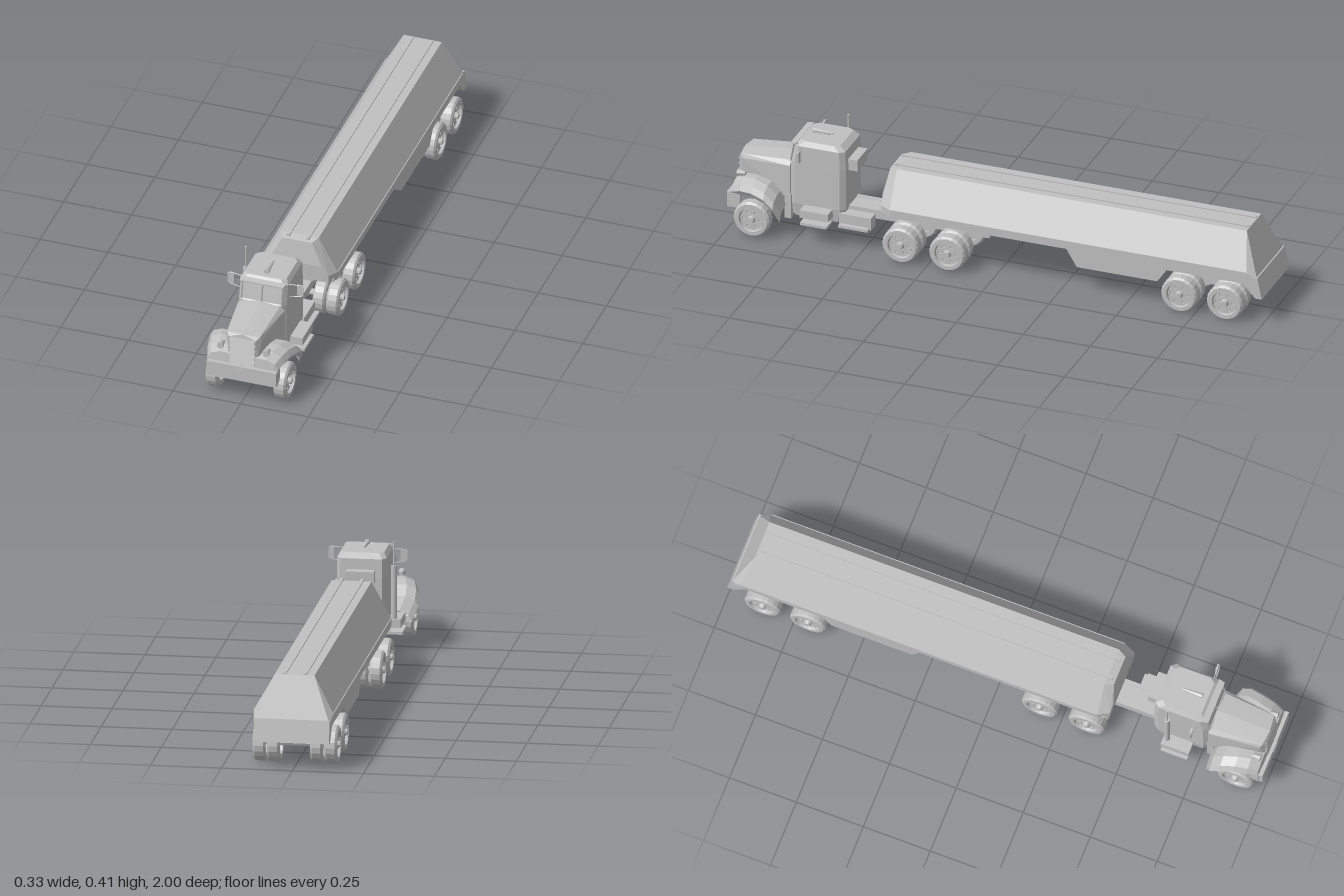
import * as THREE from 'three';
import { ConvexGeometry } from 'three/addons/geometries/ConvexGeometry.js';

const paint = new THREE.MeshStandardMaterial({ color: 0xc0c0c0, flatShading: true, side: THREE.DoubleSide });
paint.name = 'grey';

const V = (x, y, z) => new THREE.Vector3(x, y, z);

function add(parent, name, geometry, x = 0, y = 0, z = 0) {
  const mesh = new THREE.Mesh(geometry, paint);
  mesh.name = name;
  mesh.position.set(x, y, z);
  parent.add(mesh);
  return mesh;
}

// Box given by its limits
function box(parent, name, x0, x1, y0, y1, z0, z1) {
  return add(parent, name, new THREE.BoxGeometry(x1 - x0, y1 - y0, z1 - z0),
    (x0 + x1) / 2, (y0 + y1) / 2, (z0 + z1) / 2);
}

// Convex body from [x, y, z] corners, mirrored across x
function hull(parent, name, half) {
  return add(parent, name, new ConvexGeometry(half.flatMap(([x, y, z]) => [V(x, y, z), V(-x, y, z)])));
}

// Round bar between two points
function bar(parent, name, a, b, r, r2 = r, sides = 8) {
  const mesh = add(parent, name, new THREE.CylinderGeometry(r2, r, a.distanceTo(b), sides));
  mesh.position.copy(a).lerp(b, 0.5);
  mesh.quaternion.setFromUnitVectors(V(0, 1, 0), b.clone().sub(a).normalize());
  return mesh;
}

// Side profile in (z, y), extruded across x
function profile(parent, name, points, halfWidth) {
  const shape = new THREE.Shape(points.map(([z, y]) => new THREE.Vector2(-z, y)));
  const geo = new THREE.ExtrudeGeometry(shape, { depth: halfWidth * 2, bevelEnabled: false });
  geo.translate(0, 0, -halfWidth);
  geo.rotateY(Math.PI / 2);
  return add(parent, name, geo);
}

// Open surface through rows of points
function sheet(parent, name, rows) {
  const n = rows[0].length, index = [];
  for (let i = 0; i < rows.length - 1; i++) for (let j = 0; j < n - 1; j++) {
    const a = i * n + j, b = a + n;
    index.push(a, b, a + 1, b, b + 1, a + 1);
  }
  const geo = new THREE.BufferGeometry();
  geo.setAttribute('position', new THREE.Float32BufferAttribute(rows.flat(2), 3));
  geo.setIndex(index);
  geo.computeVertexNormals();
  return add(parent, name, geo);
}

// Wheel whose outer face looks along s * x
function wheel(parent, s, x, z) {
  const g = new THREE.Group();
  g.name = 'wheel';
  const w = 0.022, R = 0.067;
  const tyre = [[0.044, -w], [0.06, -w], [R, -w * 0.7], [R, w * 0.7], [0.06, w], [0.046, w], [0.043, w * 0.5], [0.043, -w], [0.044, -w]];
  add(g, 'tyre', new THREE.LatheGeometry(tyre.map(p => new THREE.Vector2(...p)), 20).rotateZ(-Math.PI / 2));
  const disc = new THREE.Shape().absarc(0, 0, 0.044, 0, Math.PI * 2);
  for (let i = 0; i < 6; i++) {
    const t = i * Math.PI / 3;
    disc.holes.push(new THREE.Path().absarc(0.03 * Math.cos(t), 0.03 * Math.sin(t), 0.007, 0, Math.PI * 2, true));
  }
  const rim = new THREE.ExtrudeGeometry(disc, { depth: 0.006, bevelEnabled: false, curveSegments: 5 });
  add(g, 'rim', rim.rotateY(Math.PI / 2), 0.006);
  add(g, 'rimBack', new THREE.CylinderGeometry(0.043, 0.043, 0.004, 20).rotateZ(Math.PI / 2), -0.006);
  add(g, 'hub', new THREE.CylinderGeometry(0.01, 0.016, 0.02, 10).rotateZ(-Math.PI / 2), 0.016);
  g.position.set(s * x, R, z);
  g.rotation.y = s > 0 ? 0 : Math.PI;
  parent.add(g);
}

function buildTrailer() {
  const g = new THREE.Group();
  g.name = 'trailer';
  // Tank with slanting sides, rounded-off nose and sloping tail
  const section = [[0.07, 0.325], [0.14, 0.197], [0.14, 0.168]];
  hull(g, 'tank', [
    ...section.map(([x, y]) => [x, y, 0.385]),
    [0.055, 0.318, 0.415], [0.12, 0.2, 0.425], [0.12, 0.172, 0.425], [0.095, 0.235, 0.428],
    [0.07, 0.325, -0.92], [0.14, 0.197, -0.945], [0.14, 0.168, -0.955], [0.132, 0.168, -0.983],
  ]);
  // Skirt with deep belly, wheel recess and tail panel
  profile(g, 'skirt', [[0.41, 0.18], [0.41, 0.168], [-0.27, 0.165], [-0.31, 0.1], [-0.61, 0.1],
    [-0.645, 0.15], [-0.93, 0.15], [-0.975, 0.1], [-1, 0.1], [-0.983, 0.18]], 0.133);
  for (const x of [-0.036, 0.036]) box(g, 'topRail', x - 0.006, x + 0.006, 0.322, 0.329, -0.915, 0.405);
  for (const s of [-1, 1]) {
    box(g, 'sideStrip', s * 0.136 - 0.006, s * 0.136 + 0.006, 0.193, 0.199, -0.94, 0.38);
    box(g, 'suspensionRail', s * 0.04 - 0.01, s * 0.04 + 0.01, 0.08, 0.15, -0.91, -0.64);
  }
  box(g, 'couplingPlate', -0.05, 0.05, 0.135, 0.17, 0.22, 0.38);
  g.position.x = 0.004;
  return g;
}

function buildCab() {
  const g = new THREE.Group();
  g.name = 'cab';
  // Cabin from chamfered layers: y, front z, back z, half width
  const layers = [[0.08, 0.775, 0.585, 0.08], [0.13, 0.78, 0.575, 0.088], [0.285, 0.78, 0.575, 0.088],
    [0.355, 0.766, 0.578, 0.087], [0.372, 0.745, 0.6, 0.076]];
  hull(g, 'cabin', layers.flatMap(([y, f, b, w]) =>
    [[w - 0.014, y, f], [w, y, f - 0.018], [w, y, b + 0.018], [w - 0.014, y, b]]));
  hull(g, 'visor', [[0.085, 0.365, 0.755], [0.085, 0.357, 0.755], [0.08, 0.357, 0.778], [0.08, 0.362, 0.778]]);
  // Split windscreen framed by slim posts
  for (const x of [-0.074, 0, 0.074]) bar(g, 'windscreenPost', V(x, 0.287, 0.781), V(x, 0.36, 0.768), 0.004, 0.004, 4);
  bar(g, 'windscreenSill', V(-0.076, 0.288, 0.781), V(0.076, 0.288, 0.781), 0.004, 0.004, 4);
  // Tapering bonnet with a gentle crown
  hull(g, 'bonnet', [[0.05, 0.15, 0.975], [0.05, 0.26, 0.98], [0.066, 0.258, 0.965], [0.06, 0.272, 0.97], [0, 0.276, 0.978],
    [0.06, 0.15, 0.95], [0.086, 0.15, 0.78], [0.086, 0.27, 0.78], [0.07, 0.286, 0.78], [0, 0.293, 0.78]]);
  for (let i = 0; i < 5; i++) {
    const y = 0.152 + i * 0.022;
    hull(g, 'grilleSlat', [[0.048, y, 0.972], [0.048, y + 0.02, 0.972], [0.046, y + 0.003, 0.987], [0.046, y + 0.02, 0.981]]);
  }
  for (const s of [-1, 1]) {
    // Arched mudguard: z, y, outer x
    const arch = [[0.985, 0.15, 0.12], [0.98, 0.19, 0.13], [0.945, 0.204, 0.142], [0.9, 0.207, 0.152],
      [0.85, 0.196, 0.164], [0.815, 0.165, 0.165], [0.795, 0.115, 0.145]];
    sheet(g, 'mudguard', arch.map(([z, y, x]) =>
      [[s * 0.045, y - 0.002, z], [s * (x - 0.045), y, z], [s * (x - 0.012), y - 0.014, z], [s * x, y - 0.036, z], [s * (x - 0.012), y - 0.055, z]]));
    bar(g, 'headlamp', V(s * 0.084, 0.21, 0.945), V(s * 0.084, 0.21, 0.975), 0.007, 0.013, 10);
    bar(g, 'headlampStalk', V(s * 0.08, 0.185, 0.95), V(s * 0.084, 0.205, 0.955), 0.004);
    // Mirror on a bent tubular frame
    const loop = [[0.085, 0.352], [0.128, 0.355], [0.138, 0.35], [0.138, 0.315], [0.128, 0.31], [0.085, 0.302]];
    for (let i = 0; i < loop.length - 1; i++)
      bar(g, 'mirrorFrame', V(s * loop[i][0], loop[i][1], 0.735), V(s * loop[i + 1][0], loop[i + 1][1], 0.735), 0.002, 0.002, 5);
    box(g, 'mirror', s * 0.127 - 0.011, s * 0.127 + 0.011, 0.312, 0.354, 0.728, 0.734);
    // Entry steps
    box(g, 'stepTank', s * 0.105 - 0.028, s * 0.105 + 0.028, 0.1, 0.13, 0.62, 0.725);
    box(g, 'step', s * 0.112 - 0.027, s * 0.112 + 0.027, 0.075, 0.085, 0.622, 0.722);
    box(g, 'stepBack', s * 0.085 - 0.005, s * 0.085 + 0.005, 0.075, 0.12, 0.622, 0.722);
    box(g, 'splashPanel', s * 0.075 - 0.01, s * 0.075 + 0.01, 0.065, 0.16, 0.775, 0.8);
  }
  // Exhaust stack on the right side
  bar(g, 'exhaustSilencer', V(-0.107, 0.13, 0.635), V(-0.107, 0.32, 0.635), 0.01, 0.01, 10);
  bar(g, 'exhaustPipe', V(-0.107, 0.32, 0.635), V(-0.107, 0.406, 0.635), 0.004);
  // Roof horn
  bar(g, 'horn', V(0, 0.379, 0.65), V(0, 0.379, 0.725), 0.003, 0.01, 6);
  box(g, 'hornFoot', -0.003, 0.003, 0.368, 0.378, 0.665, 0.685);
  box(g, 'rearUnit', -0.05, 0.05, 0.275, 0.317, 0.542, 0.58);
  return g;
}

function buildChassis() {
  const g = new THREE.Group();
  g.name = 'chassis';
  for (const s of [-1, 1]) box(g, 'frameRail', s * 0.038 - 0.008, s * 0.038 + 0.008, 0.102, 0.135, 0.05, 0.97);
  box(g, 'framePlate', -0.04, 0.04, 0.125, 0.133, 0.05, 0.6);
  box(g, 'frameEnd', -0.045, 0.045, 0.102, 0.135, 0.05, 0.07);
  box(g, 'bumper', -0.126, 0.13, 0.094, 0.152, 0.983, 0.998);
  for (const s of [-1, 1]) box(g, 'bumperEnd', s * 0.122 - 0.006, s * 0.122 + 0.006, 0.094, 0.15, 0.95, 0.985);
  box(g, 'towHook', -0.025, 0.012, 0.135, 0.145, 0.99, 1.0);
  box(g, 'toolBox', 0.05, 0.092, 0.075, 0.122, 0.475, 0.595);
  box(g, 'toolBoxStep', 0.08, 0.11, 0.075, 0.085, 0.48, 0.59);
  // Front axle with bracing
  box(g, 'frontAxle', -0.1, 0.1, 0.038, 0.06, 0.89, 0.915);
  box(g, 'axleBeam', -0.1, 0.1, 0.06, 0.066, 0.93, 0.945);
  for (const s of [-1, 1]) bar(g, 'axleBrace', V(s * 0.075, 0.062, 0.92), V(s * 0.025, 0.1, 0.92), 0.007, 0.007, 4);
  return g;
}

export function createModel() {
  const model = new THREE.Group();
  model.name = 'tankerTruck';
  model.add(buildChassis(), buildCab(), buildTrailer());
  // Single front wheels, twin rear wheels
  const wheels = new THREE.Group();
  wheels.name = 'wheels';
  wheels.position.x = 0.004;
  for (const s of [-1, 1]) {
    wheel(wheels, s, 0.125, 0.9);
    for (const z of [0.345, 0.17, -0.695, -0.865]) {
      wheel(wheels, s, 0.126, z);
      wheel(wheels, s, 0.076, z);
    }
  }
  for (const z of [0.345, 0.17, -0.695, -0.865]) {
    bar(wheels, 'rearAxle', V(-0.12, 0.067, z), V(0.12, 0.067, z), 0.012, 0.012, 8);
    if (z > 0) add(wheels, 'differential', new THREE.SphereGeometry(0.028, 10, 6), 0, 0.067, z);
  }
  model.add(wheels);
  return model;
}
